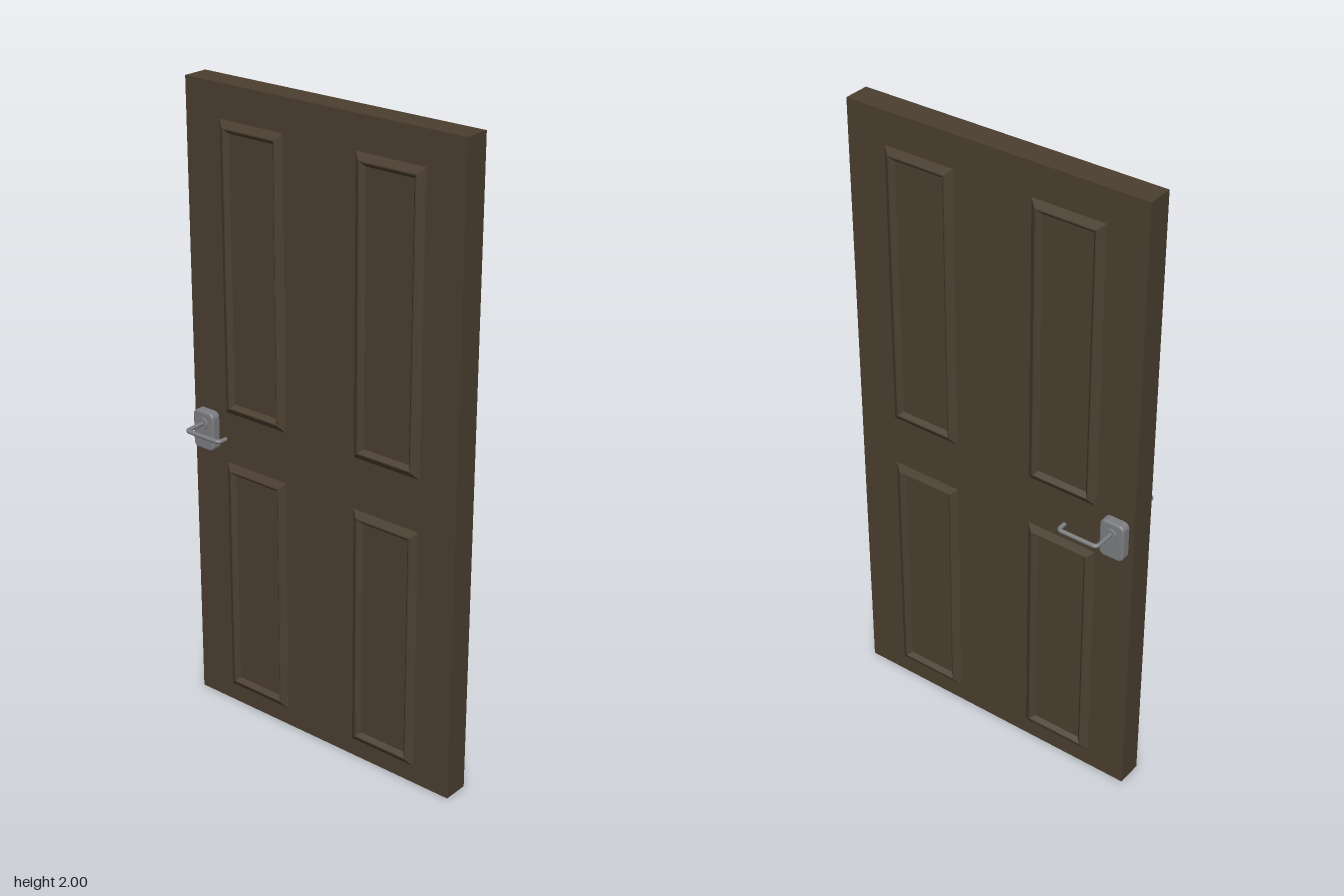
import * as THREE from 'three';

const wood = new THREE.MeshStandardMaterial({ color: 0x4a3e2f, flatShading: true });
const metal = new THREE.MeshStandardMaterial({ color: 0x7c7d80 });
const HALF = 0.041; // half the slab thickness

function add(parent, name, geometry, material) {
  const mesh = new THREE.Mesh(geometry, material);
  mesh.name = name;
  parent.add(mesh);
  return mesh;
}

// Raised moulding: rectangles stepping inward at changing heights, closed by the panel field
function panelGeometry(w, h) {
  const profile = [[0, HALF], [0.02, 0.055], [0.024, 0.055], [0.036, 0.0425]]; // inset, z
  const pos = [], index = [];
  for (const [inset, z] of profile) {
    const x = w / 2 - inset, y = h / 2 - inset;
    pos.push(-x, -y, z, x, -y, z, x, y, z, -x, y, z);
  }
  for (let r = 0; r < profile.length - 1; r++) {
    for (let i = 0; i < 4; i++) {
      const a = r * 4 + i, b = r * 4 + (i + 1) % 4;
      index.push(a, b, b + 4, a, b + 4, a + 4);
    }
  }
  const f = (profile.length - 1) * 4;
  index.push(f, f + 1, f + 2, f, f + 2, f + 3);
  const g = new THREE.BufferGeometry();
  g.setAttribute('position', new THREE.Float32BufferAttribute(pos, 3));
  g.setIndex(index);
  const flat = g.toNonIndexed();
  flat.computeVertexNormals();
  return flat;
}

// Rounded escutcheon plate with a softened front edge
function plateGeometry(w, h, r, depth, bevel) {
  const x = w / 2 - bevel, y = h / 2 - bevel;
  const s = new THREE.Shape();
  s.absarc(x - r, y - r, r, 0, Math.PI / 2);
  s.absarc(-x + r, y - r, r, Math.PI / 2, Math.PI);
  s.absarc(-x + r, -y + r, r, Math.PI, Math.PI * 1.5);
  s.absarc(x - r, -y + r, r, Math.PI * 1.5, Math.PI * 2);
  return new THREE.ExtrudeGeometry(s, {
    depth: depth - bevel, bevelSize: bevel, bevelThickness: bevel, bevelSegments: 4, curveSegments: 8,
  });
}

// Lever path: out of the plate, along the door, then back toward it
function leverPath(points, r) {
  const path = new THREE.CurvePath();
  let from = points[0];
  for (let i = 1; i < points.length - 1; i++) {
    const p = points[i];
    const a = p.clone().add(points[i - 1].clone().sub(p).setLength(r));
    const b = p.clone().add(points[i + 1].clone().sub(p).setLength(r));
    path.add(new THREE.LineCurve3(from, a));
    path.add(new THREE.QuadraticBezierCurve3(a, p, b));
    from = b;
  }
  path.add(new THREE.LineCurve3(from, points[points.length - 1]));
  return path;
}

function makeHandle(side) {
  const g = new THREE.Group();
  const x = -0.432, y = 0.955, tip = -0.303, reach = 0.141, rod = 0.0065;

  add(g, 'handlePlate', plateGeometry(0.08, 0.124, 0.012, 0.032, 0.006), metal)
    .position.set(-0.433, 0.931, 0.038);

  const collar = add(g, 'handleCollar', new THREE.CylinderGeometry(0.018, 0.02, 0.008, 24), metal);
  collar.rotation.x = Math.PI / 2;
  collar.position.set(x, y, 0.07);

  // Wind the path per side so the sweep stays right-handed after mirroring
  const v = (px, pz) => new THREE.Vector3(px, y, pz * side);
  const points = [v(x, 0.06), v(x, reach), v(tip, reach), v(tip, 0.112)];
  const lever = add(g, 'lever', new THREE.TubeGeometry(leverPath(points, 0.013), 96, rod, 12), metal);
  const end = add(g, 'leverTip', new THREE.SphereGeometry(rod, 12, 8), metal);
  end.position.copy(points[3]);

  // Plate and collar are symmetric, so they turn about the x axis for the back
  if (side < 0) {
    for (const part of g.children) {
      if (part === lever || part === end) continue;
      part.position.z *= -1;
      part.rotation.x += Math.PI;
    }
  }
  return g;
}

export function createModel() {
  const door = new THREE.Group();
  door.name = 'door';
  add(door, 'slab', new THREE.BoxGeometry(0.98, 2, HALF * 2), wood).position.y = 1;

  // Two tall upper panels and two shorter lower ones, on both faces
  const rows = [['upperPanel', 1.002, 1.897], ['lowerPanel', 0.058, 0.838]];
  for (const side of [1, -1]) {
    const face = new THREE.Group();
    face.name = side > 0 ? 'frontPanels' : 'backPanels';
    face.rotation.y = side > 0 ? 0 : Math.PI;
    for (const [name, bottom, top] of rows) {
      const geometry = panelGeometry(0.234, top - bottom);
      for (const x of [-0.245, 0.245]) {
        add(face, name, geometry, wood).position.set(x, (bottom + top) / 2, 0);
      }
    }
    door.add(face);

    const handle = makeHandle(side);
    handle.name = side > 0 ? 'frontHandle' : 'backHandle';
    door.add(handle);
  }
  return door;
}
